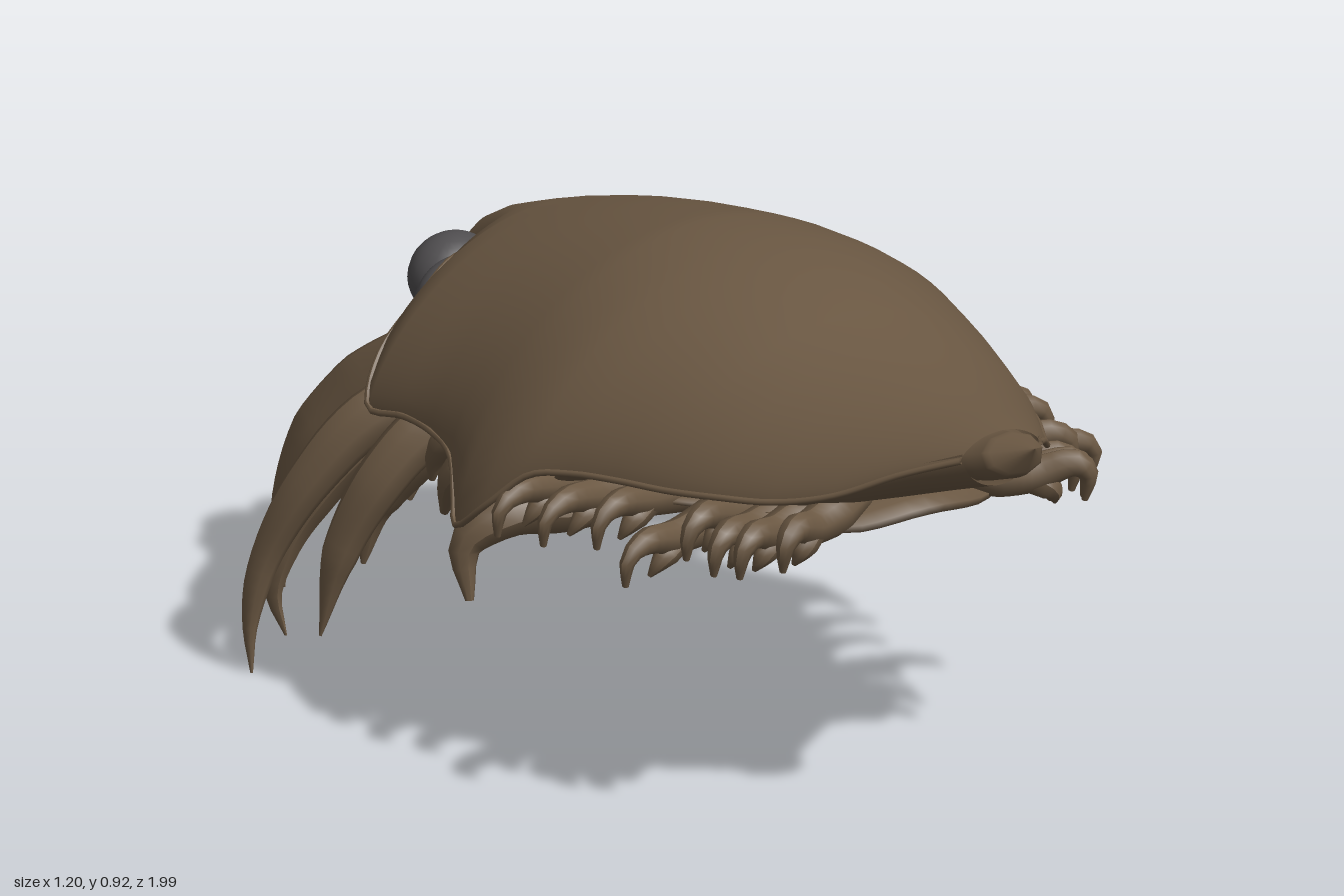
import * as THREE from 'three';

const brown = new THREE.MeshStandardMaterial({ color: 0x6b5843, side: THREE.DoubleSide });
brown.name = 'brown chitin';
const grey = new THREE.MeshStandardMaterial({ color: 0x504e50 });
grey.name = 'grey eye';

// Shell stations: z, crest height, full half width, rim height, half width kept
const stations = [
  [0.89, 0.81, 0.085, 0.77, 0.085], [0.8, 0.815, 0.155, 0.73, 0.155],
  [0.7, 0.82, 0.23, 0.675, 0.23], [0.6, 0.835, 0.29, 0.645, 0.29],
  [0.5, 0.85, 0.345, 0.635, 0.345], [0.4, 0.875, 0.385, 0.625, 0.385],
  [0.3, 0.9, 0.42, 0.62, 0.42], [0.2, 0.915, 0.455, 0.61, 0.455],
  [0.12, 0.923, 0.49, 0.59, 0.49], [0.05, 0.925, 0.535, 0.52, 0.535],
  [-0.03, 0.925, 0.545, 0.46, 0.545], [-0.08, 0.918, 0.515, 0.49, 0.515],
  [-0.15, 0.905, 0.475, 0.54, 0.475], [-0.25, 0.885, 0.45, 0.55, 0.45],
  [-0.35, 0.86, 0.44, 0.545, 0.44], [-0.45, 0.83, 0.445, 0.53, 0.445],
  [-0.48, 0.82, 0.435, 0.52, 0.425], [-0.515, 0.81, 0.4, 0.54, 0.37],
  [-0.53, 0.805, 0.357, 0.55, 0.28], [-0.56, 0.795, 0.315, 0.55, 0.2],
  [-0.6, 0.78, 0.197, 0.55, 0.12], [-0.65, 0.76, 0.13, 0.55, 0.08],
  [-0.72, 0.72, 0.105, 0.52, 0.065], [-0.77, 0.67, 0.1, 0.5, 0.065],
  [-0.795, 0.61, 0.1, 0.48, 0.06],
];
const shellY = ([, top, w, rim], x) =>
  rim + (top - rim) * Math.pow(Math.max(0, 1 - Math.pow(Math.abs(x) / w, 2)), 0.68);

// Skin a list of cross-sections, each an equal-length row of [x, y, z]
function loft(rows, flip) {
  const n = rows[0].length, index = [];
  for (let i = 0; i < rows.length - 1; i++) for (let j = 0; j < n - 1; j++) {
    const a = i * n + j, b = a + 1, c = a + n, d = c + 1;
    index.push(...(flip ? [a, c, b, b, c, d] : [a, b, c, b, d, c]));
  }
  const g = new THREE.BufferGeometry();
  g.setAttribute('position', new THREE.Float32BufferAttribute(rows.flat(2), 3));
  g.setIndex(index);
  g.computeVertexNormals();
  return g;
}
function row(st, cut, yAt, n = 36) {
  return Array.from({ length: n + 1 }, (_, j) => {
    const x = cut * Math.sin((j / n - 0.5) * Math.PI);
    return [x, yAt(x), st[0]];
  });
}

// Tapered tube through points; radii are spread along it, flat squashes each axis
function limb(points, radii, flat = [1, 1, 1], segs = 18, sides = 9) {
  const curve = new THREE.CatmullRomCurve3(points.map(p => new THREE.Vector3(...p)));
  const g = new THREE.TubeGeometry(curve, segs, 1, sides, false);
  const p = g.attributes.position, nrm = g.attributes.normal;
  for (let i = 0; i < p.count; i++) {
    const t = Math.floor(i / (sides + 1)) / segs, c = curve.getPointAt(t);
    const f = t * (radii.length - 1), k = Math.min(Math.floor(f), radii.length - 2);
    const r = THREE.MathUtils.lerp(radii[k], radii[k + 1], f - k);
    p.setXYZ(i, c.x + nrm.getX(i) * r * flat[0], c.y + nrm.getY(i) * r * flat[1], c.z + nrm.getZ(i) * r * flat[2]);
  }
  g.computeVertexNormals();
  return g;
}

export function createModel() {
  const group = new THREE.Group();
  const add = (name, geometry, material = brown) => {
    const m = new THREE.Mesh(geometry, material);
    m.name = name;
    group.add(m);
    return m;
  };
  const pair = (name, points, radii, flat, segs) => {
    for (const s of [1, -1])
      add((s > 0 ? 'left ' : 'right ') + name, limb(points.map(([x, y, z]) => [x * s, y, z]), radii, flat, segs));
  };
  const ball = (name, pos, size, material) => {
    const m = add(name, new THREE.SphereGeometry(1, 24, 16), material);
    m.position.set(...pos);
    m.scale.set(...size);
  };

  // Domed back shell with a thin rim
  add('shell', loft(stations.map(st => row(st, st[4], x => shellY(st, x)))));
  pair('shell rim', stations.map(st => [st[4], shellY(st, st[4]), st[0]]), [0.006, 0.006], [1, 1, 1], 90);

  // Pointed tail spine
  add('tail spine', limb([[0, 0.758, 0.86], [0, 0.766, 0.9], [0, 0.81, 1]], [0.078, 0.062, 0], [1, 0.6, 1]));

  // Belly under the shell, rising to the tail
  const bellyY = z => z > 0.55 ? 0.585 + (z - 0.55) * 0.36 : 0.51 + Math.max(0, z + 0.2) * 0.1;
  const bellyRows = stations.slice(0, 21).map(st => {
    const w = Math.min(st[4] * 0.96, 0.4), side = st[3] + 0.012, low = Math.min(bellyY(st[0]), st[3] - 0.01);
    return row(st, w, x => side - (side - low) * Math.sqrt(Math.max(0, 1 - (x / w) ** 2)), 24);
  });
  add('belly', loft(bellyRows, true));

  // Overlapping belly plates
  for (let i = 0; i < 8; i++) {
    const z = 0.58 - i * 0.13, w = 0.26 + Math.min(i, 4) * 0.025, y = bellyY(z) - 0.005;
    add('belly plate', limb([[-w, y, z - 0.04], [-w / 2, y - 0.015, z], [0, y, z + 0.02],
      [w / 2, y - 0.015, z], [w, y, z - 0.04]], [0.015, 0.045, 0.05, 0.045, 0.015], [1, 0.5, 1.4]));
  }

  // Small curled rear legs: tip x, y, z
  const rearTips = [[0.335, 0.545, 0.68], [0.38, 0.52, 0.61], [0.395, 0.51, 0.55], [0.42, 0.53, 0.5],
    [0.51, 0.48, 0.44], [0.49, 0.51, 0.32], [0.53, 0.49, 0.21], [0.54, 0.47, 0.08]];
  for (const [x, y, z] of rearTips) {
    pair('rear leg', [[x * 0.3, bellyY(z) - 0.01, z - 0.08], [x * 0.7, y + 0.055, z - 0.04],
      [x * 0.9, y + 0.075, z], [x - 0.01, y + 0.055, z + 0.01], [x - 0.01, y, z]],
      [0.025, 0.042, 0.032, 0.024, 0.006]);
    pair('rear leg spur', [[x * 0.7, y + 0.05, z - 0.04], [x * 0.8, y + 0.025, z - 0.02], [x * 0.84, y - 0.005, z - 0.03]],
      [0.028, 0.024, 0.004], [1, 1, 1], 8);
  }

  // Middle legs
  pair('middle leg', [[0.12, 0.5, 0.03], [0.3, 0.455, 0], [0.43, 0.46, -0.02], [0.505, 0.41, -0.055], [0.515, 0.31, -0.03]],
    [0.03, 0.045, 0.045, 0.038, 0.008]);
  pair('middle leg', [[0.12, 0.5, -0.1], [0.28, 0.47, -0.13], [0.37, 0.51, -0.15], [0.42, 0.47, -0.21], [0.42, 0.39, -0.25]],
    [0.03, 0.045, 0.05, 0.04, 0.008]);
  pair('middle leg', [[0.12, 0.49, -0.2], [0.28, 0.47, -0.23], [0.37, 0.53, -0.25], [0.405, 0.49, -0.29], [0.405, 0.43, -0.31]],
    [0.03, 0.04, 0.045, 0.035, 0.006]);

  // Long sickle legs, front to back
  pair('front claw', [[0.1, 0.55, -0.62], [0.155, 0.47, -0.73], [0.21, 0.36, -0.845], [0.26, 0.235, -0.925],
    [0.29, 0.11, -0.955], [0.3, 0.01, -0.93]], [0.05, 0.07, 0.085, 0.08, 0.042, 0.003], [0.36, 1, 1], 28);
  pair('second claw', [[0.15, 0.55, -0.5], [0.25, 0.49, -0.55], [0.35, 0.38, -0.64], [0.43, 0.22, -0.715],
    [0.46, 0.1, -0.73], [0.45, 0.02, -0.705]], [0.04, 0.06, 0.058, 0.052, 0.035, 0.003], [0.65, 1, 0.95], 28);
  pair('third claw', [[0.22, 0.53, -0.43], [0.4, 0.5, -0.49], [0.5, 0.38, -0.55], [0.56, 0.22, -0.61],
    [0.585, 0.1, -0.62], [0.592, 0.01, -0.605]], [0.04, 0.055, 0.05, 0.04, 0.028, 0.003], [0.75, 1, 0.95], 28);
  pair('fourth claw', [[0.22, 0.52, -0.32], [0.38, 0.51, -0.35], [0.46, 0.43, -0.38], [0.52, 0.28, -0.43], [0.55, 0.12, -0.45]],
    [0.04, 0.055, 0.05, 0.038, 0.003], [0.8, 1, 0.95], 24);

  // Short notched teeth on the inner edge of the front claws
  for (let i = 0; i < 3; i++) {
    const x = 0.22 + i * 0.022, y = 0.29 - i * 0.06, z = -0.845 - i * 0.028;
    pair('claw tooth', [[x, y + 0.02, z - 0.02], [x, y - 0.015, z], [x, y - 0.05, z - 0.01]],
      [0.03, 0.022, 0.002], [0.5, 1, 1], 6);
  }

  // Broad mouth limbs hanging beneath the head
  pair('jaw limb', [[0.2, 0.53, -0.48], [0.28, 0.42, -0.52], [0.34, 0.3, -0.58], [0.355, 0.17, -0.6]],
    [0.055, 0.075, 0.06, 0.006], [0.85, 1, 0.65]);
  pair('inner jaw limb', [[0.12, 0.54, -0.58], [0.15, 0.43, -0.62], [0.18, 0.33, -0.67], [0.195, 0.23, -0.69]],
    [0.05, 0.06, 0.048, 0.008], [0.8, 1, 0.65]);
  add('mouth plate', limb([[0, 0.56, -0.64], [0, 0.46, -0.7], [0, 0.33, -0.72]], [0.05, 0.05, 0.024], [1, 1, 0.6]));

  // Head, paired wide eyes and tiny feelers
  ball('head', [0, 0.61, -0.62], [0.11, 0.1, 0.16], brown);
  for (const s of [1, -1]) {
    ball('front eye', [s * 0.105, 0.64, -0.68], [0.086, 0.08, 0.078], grey);
    ball('rear eye', [s * 0.165, 0.64, -0.57], [0.092, 0.083, 0.062], grey);
    ball('feeler base', [s * 0.03, 0.55, -0.765], [0.025, 0.035, 0.03], brown);
  }
  ball('feeler bead', [0, 0.525, -0.795], [0.02, 0.022, 0.02], grey);
  return group;
}
